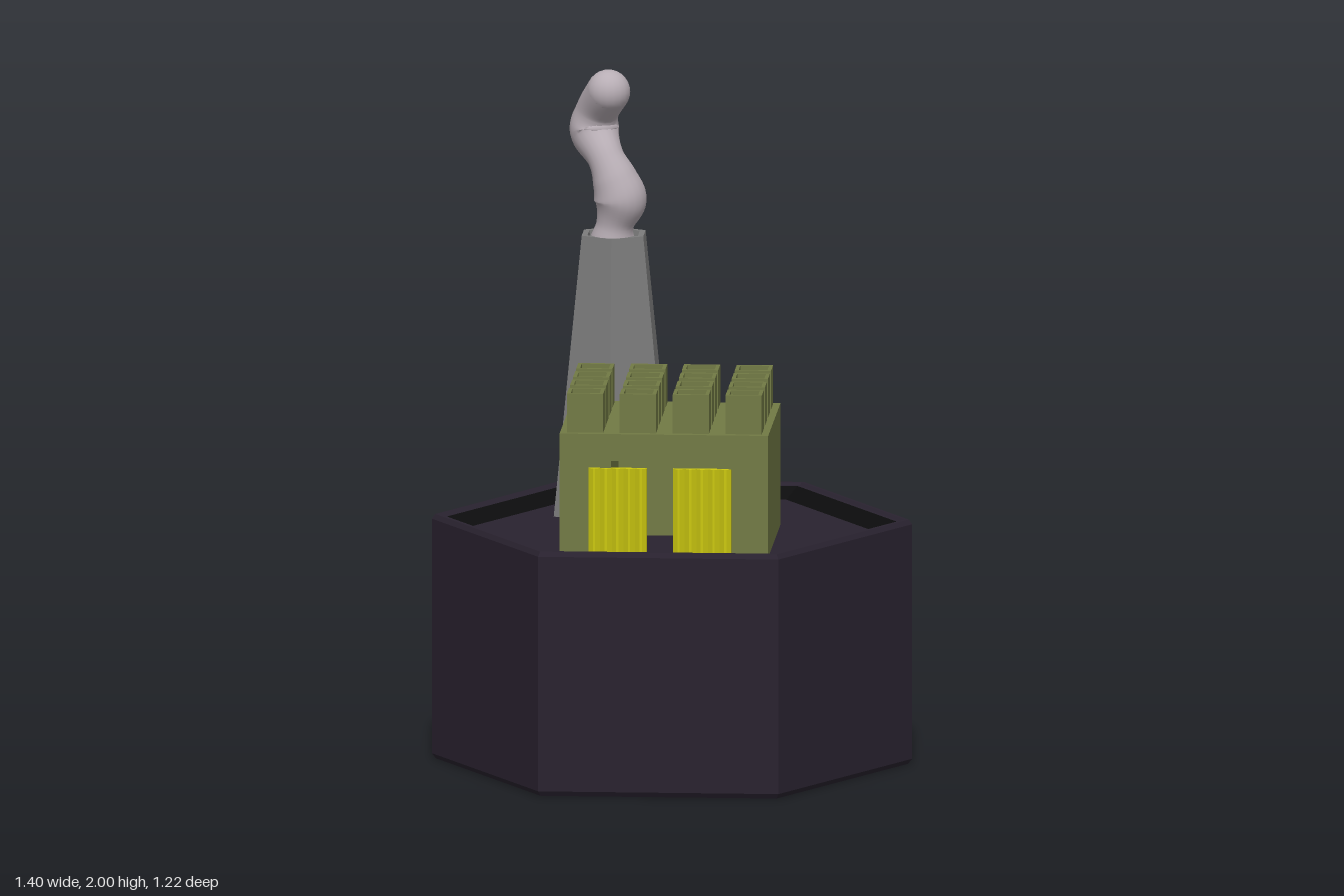
import * as THREE from 'three';

const mat = (color, flat = true) =>
  new THREE.MeshStandardMaterial({ color, flatShading: flat, side: THREE.DoubleSide });
const DARK = mat(0x29222f), BLACK = mat(0x0c0c0d), OLIVE = mat(0x727a45);
const YELLOW = mat(0xccc810), STONE = mat(0x7c7c7c), SMOKE = mat(0xb8aeb5, false);

const FLOOR = 0.685, ROOF = 1.045;

function add(parent, name, geometry, material, x = 0, y = 0, z = 0) {
  const mesh = new THREE.Mesh(geometry, material);
  mesh.name = name;
  mesh.position.set(x, y, z);
  parent.add(mesh);
  return mesh;
}

// Six-sided turned shape from [radius, height] pairs
function hexLathe(profile, phiStart) {
  return new THREE.LatheGeometry(profile.map(([r, y]) => new THREE.Vector2(r, y)), 6, phiStart);
}

function polygon(points, Type = THREE.Shape) {
  return new Type(points.map(([x, y]) => new THREE.Vector2(x, y)));
}

// Extrude a plan-view outline (x, -z) straight up
function extrudeUp(shape, height) {
  return new THREE.ExtrudeGeometry(shape, { depth: height, bevelEnabled: false }).rotateX(-Math.PI / 2);
}

function createBase() {
  const group = new THREE.Group();
  group.name = 'hexBase';
  add(group, 'baseBody', hexLathe([
    [0, 0], [0.69, 0], [0.702, 0.015], [0.702, 0.71], [0.692, 0.724],
    [0.68, 0.724], [0.672, 0.717], [0.658, 0.717],
  ], Math.PI / 2), DARK);
  add(group, 'innerBand', hexLathe([[0.658, 0.717], [0.6, FLOOR]], Math.PI / 2), BLACK);
  add(group, 'baseFloor', hexLathe([[0.6, FLOOR], [0, FLOOR]], Math.PI / 2), DARK);
  return group;
}

function createFactory() {
  const group = new THREE.Group();
  group.name = 'factory';
  const x0 = -0.3, x1 = 0.31, zBack = -0.11, zFront = 0.435, recess = 0.34;

  // Front block with the doorway cut through, closed by a solid back block
  const front = polygon([
    [x0, FLOOR], [-0.15, FLOOR], [-0.15, 0.965], [0.16, 0.965],
    [0.16, FLOOR], [x1, FLOOR], [x1, ROOF], [x0, ROOF],
  ]);
  add(group, 'frontBlock', new THREE.ExtrudeGeometry(front, { depth: recess, bevelEnabled: false }),
    OLIVE, 0, 0, zFront - recess);
  const backDepth = zFront - recess - zBack;
  add(group, 'backBlock', new THREE.BoxGeometry(x1 - x0, ROOF - FLOOR, backDepth), OLIVE,
    (x0 + x1) / 2, (ROOF + FLOOR) / 2, zBack + backDepth / 2);

  // Four by four hollow roof vents
  const rect = (w, d) => [[-w, -d], [w, -d], [w, d], [-w, d]];
  const ring = polygon(rect(0.053, 0.047));
  ring.holes.push(polygon(rect(0.042, 0.036), THREE.Path));
  const vent = extrudeUp(ring, 1.16 - ROOF);
  for (let i = 0; i < 4; i++) {
    for (let j = 0; j < 4; j++) {
      add(group, 'roofVent', vent, OLIVE, -0.227 + i * 0.1545, ROOF, -0.045 + j * 0.137);
    }
  }

  // Pleated folding doors, standing proud of the front wall
  const pleats = 5, width = 0.17, step = width / pleats;
  const outline = [[0, 0.006]];
  for (let i = 0; i < pleats; i++) {
    outline.push([i * step, -0.004], [(i + 0.4) * step, -0.016], [(i + 0.6) * step, -0.016]);
  }
  outline.push([width, -0.004], [width, 0.006]);
  const door = extrudeUp(polygon(outline), 0.945 - FLOOR);
  for (const x of [-0.215, 0.032]) add(group, 'foldingDoor', door, YELLOW, x, FLOOR, zFront);
  return group;
}

function createChimney() {
  const group = new THREE.Group();
  group.name = 'chimney';
  add(group, 'stack', hexLathe([
    [0.195, FLOOR], [0.104, 1.51], [0.085, 1.51], [0.078, 1.45], [0, 1.45],
  ], 0), STONE, -0.19, 0, -0.295);

  // Smoke: a winding tube whose radius swells and narrows; [x, y, z, radius]
  const puffs = [
    [-0.19, 1.45, -0.28, 0.085], [-0.19, 1.5, -0.265, 0.066], [-0.183, 1.545, -0.258, 0.055],
    [-0.168, 1.615, -0.255, 0.077], [-0.185, 1.68, -0.255, 0.066], [-0.212, 1.74, -0.268, 0.054],
    [-0.248, 1.81, -0.325, 0.073], [-0.238, 1.87, -0.312, 0.063], [-0.203, 1.936, -0.258, 0.064],
  ];
  const path = new THREE.CatmullRomCurve3(puffs.map(([x, y, z]) => new THREE.Vector3(x, y, z)));
  const radii = new THREE.SplineCurve(puffs.map((p, i) => new THREE.Vector2(i, p[3])));
  const rings = 60, sides = 20;
  const tube = new THREE.TubeGeometry(path, rings, 1, sides);
  const pos = tube.attributes.position, v = new THREE.Vector3();
  for (let i = 0; i <= rings; i++) {
    const centre = path.getPointAt(i / rings);
    const r = radii.getPoint(path.getUtoTmapping(i / rings)).y;
    for (let j = 0; j <= sides; j++) {
      const k = i * (sides + 1) + j;
      v.fromBufferAttribute(pos, k).sub(centre).multiplyScalar(r).add(centre);
      pos.setXYZ(k, v.x, v.y, v.z);
    }
  }
  tube.computeVertexNormals();
  add(group, 'smoke', tube, SMOKE);
  const [x, y, z, r] = puffs[puffs.length - 1];
  add(group, 'smokeTip', new THREE.SphereGeometry(r, 20, 14), SMOKE, x, y, z);
  return group;
}

export function createModel() {
  const model = new THREE.Group();
  model.name = 'factoryTile';
  model.add(createBase(), createFactory(), createChimney());
  return model;
}
